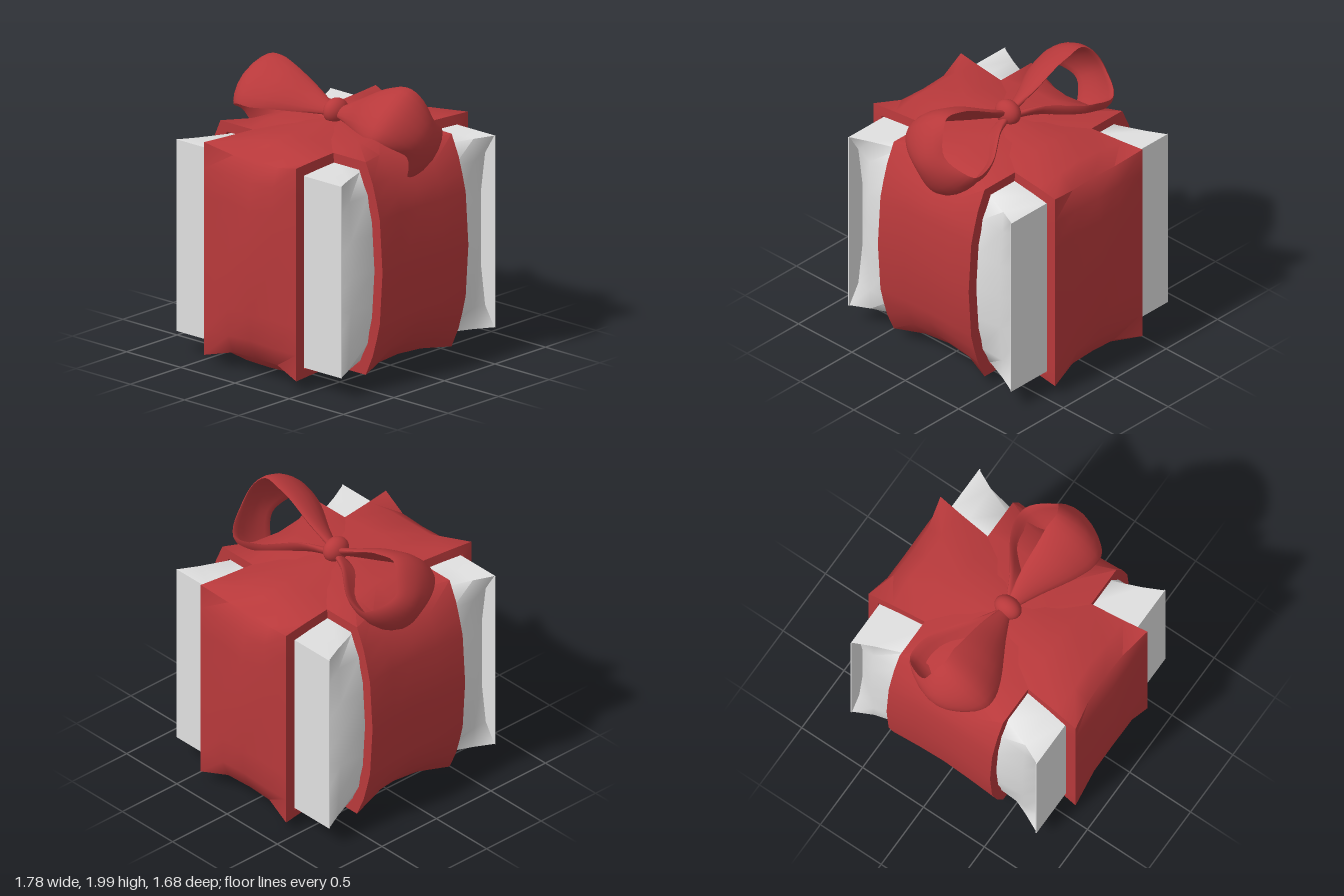
import * as THREE from 'three';
import { toCreasedNormals } from 'three/addons/utils/BufferGeometryUtils.js';

const MID = 0.83; // height of the box centre

// Joins closed rings of points into a surface.
function skin(rings, flip = false, crease = 0.9) {
  const n = rings[0].length, pos = [], idx = [];
  rings.forEach(r => r.forEach(p => pos.push(...p)));
  for (let i = 0; i < rings.length - 1; i++) {
    for (let j = 0; j < n; j++) {
      const k = (j + 1) % n;
      const a = i * n + j, b = a + n, c = (i + 1) * n + k, d = i * n + k;
      if (flip) idx.push(a, c, b, a, d, c);
      else idx.push(a, b, c, a, c, d);
    }
  }
  const g = new THREE.BufferGeometry();
  g.setAttribute('position', new THREE.Float32BufferAttribute(pos, 3));
  g.setIndex(idx);
  return toCreasedNormals(g, crease);
}

// Mirrors a quarter outline (top centre to side centre) into a clockwise loop.
function loop(q) {
  const m = q.length - 1, out = [];
  for (let i = 0; i < m; i++) out.push([q[i][0], q[i][1], i]);
  for (let i = m; i > 0; i--) out.push([q[i][0], -q[i][1], i]);
  for (let i = 0; i < m; i++) out.push([-q[i][0], -q[i][1], i]);
  for (let i = m; i > 0; i--) out.push([-q[i][0], q[i][1], i]);
  return out;
}

// Padded band: outlines at centre, halfway and edge; the edge turns in towards the box.
function band(centre, half, edge, halfWidths, place) {
  const stations = [[-1, edge, 0.91], [-1, edge, 1], [-0.48, half, 1], [0, centre, 1],
    [0.48, half, 1], [1, edge, 1], [1, edge, 0.91]];
  return skin(stations.map(([s, outline, k]) =>
    loop(outline).map(([u, y, i]) => place(u * k, MID + y * k, s * halfWidths[i]))));
}

export function createModel() {
  const red = new THREE.MeshStandardMaterial({ color: 0xb8393b, side: THREE.DoubleSide });
  red.name = 'ribbon red';
  const white = new THREE.MeshStandardMaterial({ color: 0xe0e0e0, side: THREE.DoubleSide });
  white.name = 'paper white';

  const model = new THREE.Group();
  model.name = 'giftBox';
  const add = (name, geo, mat) => {
    const m = new THREE.Mesh(geo, mat);
    m.name = name;
    model.add(m);
    return m;
  };

  // Box body: padded and chamfered, pinched in behind two square end panels
  const bodyMid = [[0, 0.68], [0.42, 0.68], [0.61, 0.67], [0.69, 0.52], [0.73, 0.25], [0.735, 0]];
  const bodyOut = [[0, 0.68], [0.42, 0.68], [0.69, 0.675], [0.70, 0.52], [0.72, 0.25], [0.725, 0]];
  const bodyEnd = [[0, 0.68], [0.42, 0.68], [0.755, 0.68], [0.67, 0.54], [0.63, 0.25], [0.63, 0]];
  const body = [[-0.757, bodyEnd], [-0.62, bodyOut], [-0.42, bodyMid],
    [0.42, bodyMid], [0.62, bodyOut], [0.757, bodyEnd]];
  add('boxBody', skin(body.map(([x, q]) => loop(q).map(([u, y]) => [x, MID + y, -u])), false, 1.2), white);
  for (const s of [-1, 1]) {
    const panel = add('endPanel', new THREE.BoxGeometry(0.006, 1.36, 1.525), white);
    panel.position.set(s * 0.76, MID, 0);
  }

  // Band over front, top, back and bottom
  add('frontBackBand', band(
    [[0, 0.82], [0.4, 0.79], [0.57, 0.73], [0.70, 0.59], [0.755, 0.47], [0.785, 0.37], [0.80, 0]],
    [[0, 0.805], [0.4, 0.785], [0.59, 0.735], [0.71, 0.60], [0.76, 0.48], [0.79, 0.37], [0.805, 0]],
    [[0, 0.755], [0.4, 0.755], [0.67, 0.755], [0.735, 0.61], [0.77, 0.49], [0.80, 0.37], [0.825, 0]],
    Array(7).fill(0.425),
    (u, y, w) => [w, y, -u]), red);

  // Band over left, top, right and bottom, square at its edges
  add('sideBand', band(
    [[0, 0.825], [0.4, 0.815], [0.67, 0.79], [0.79, 0.70], [0.85, 0.56], [0.865, 0.37], [0.89, 0]],
    [[0, 0.80], [0.4, 0.795], [0.68, 0.78], [0.80, 0.70], [0.85, 0.57], [0.852, 0.37], [0.86, 0]],
    [[0, 0.755], [0.4, 0.755], [0.67, 0.755], [0.85, 0.755], [0.85, 0.57], [0.85, 0.37], [0.85, 0]],
    [0.32, 0.37, 0.40, 0.425, 0.425, 0.425, 0.425],
    (u, y, w) => [u, y, w]), red);

  // Bow loops: a tapered ribbon swept along a tilted teardrop path
  const path = [[0, 1.69, 0.05], [-0.04, 1.75, 0.2], [-0.13, 1.85, 0.47], [-0.145, 1.865, 0.67],
    [0, 1.68, 0.8], [0.16, 1.475, 0.68], [0.15, 1.5, 0.47], [0.04, 1.64, 0.2], [0, 1.67, 0.05]];
  const across = new THREE.Vector3(0.8, 0.6, 0);
  const bowLoop = (side, lift, shift) => {
    const curve = new THREE.CatmullRomCurve3(path.map(([x, y, z]) =>
      new THREE.Vector3(x + shift * Math.min(1, z * 2), 1.68 + (y - 1.68) * lift, z)));
    const rings = [], N = 44;
    for (let i = 0; i <= N; i++) {
      const t = i / N, p = curve.getPointAt(t), tan = curve.getTangentAt(t);
      const out = tan.clone().cross(across).normalize();
      const spread = Math.min(1, Math.sin(Math.PI * t) * 1.3);
      const waist = 1 - 0.27 * Math.exp(-(((t - 0.5) / 0.08) ** 2));
      const half = (0.045 + 0.185 * spread) * waist;
      const ring = [];
      for (let j = 0; j < 16; j++) {
        const a = Math.PI - (j / 16) * Math.PI * 2;
        const w = Math.cos(a), h = Math.sin(a) * 0.025 + 0.015 - 0.045 * spread * w * w;
        const v = p.clone().addScaledVector(across, w * half).addScaledVector(out, h);
        ring.push([v.x, v.y, v.z * side]);
      }
      rings.push(ring);
    }
    return skin(rings, side < 0, 1.2);
  };
  add('frontBowLoop', bowLoop(1, 1, 0), red);
  add('backBowLoop', bowLoop(-1, 0.83, 0.02), red);

  // Knot
  const knot = add('bowKnot', new THREE.SphereGeometry(1, 24, 16), red);
  knot.scale.set(0.1, 0.09, 0.075);
  knot.position.set(0, 1.7, 0);

  return model;
}
